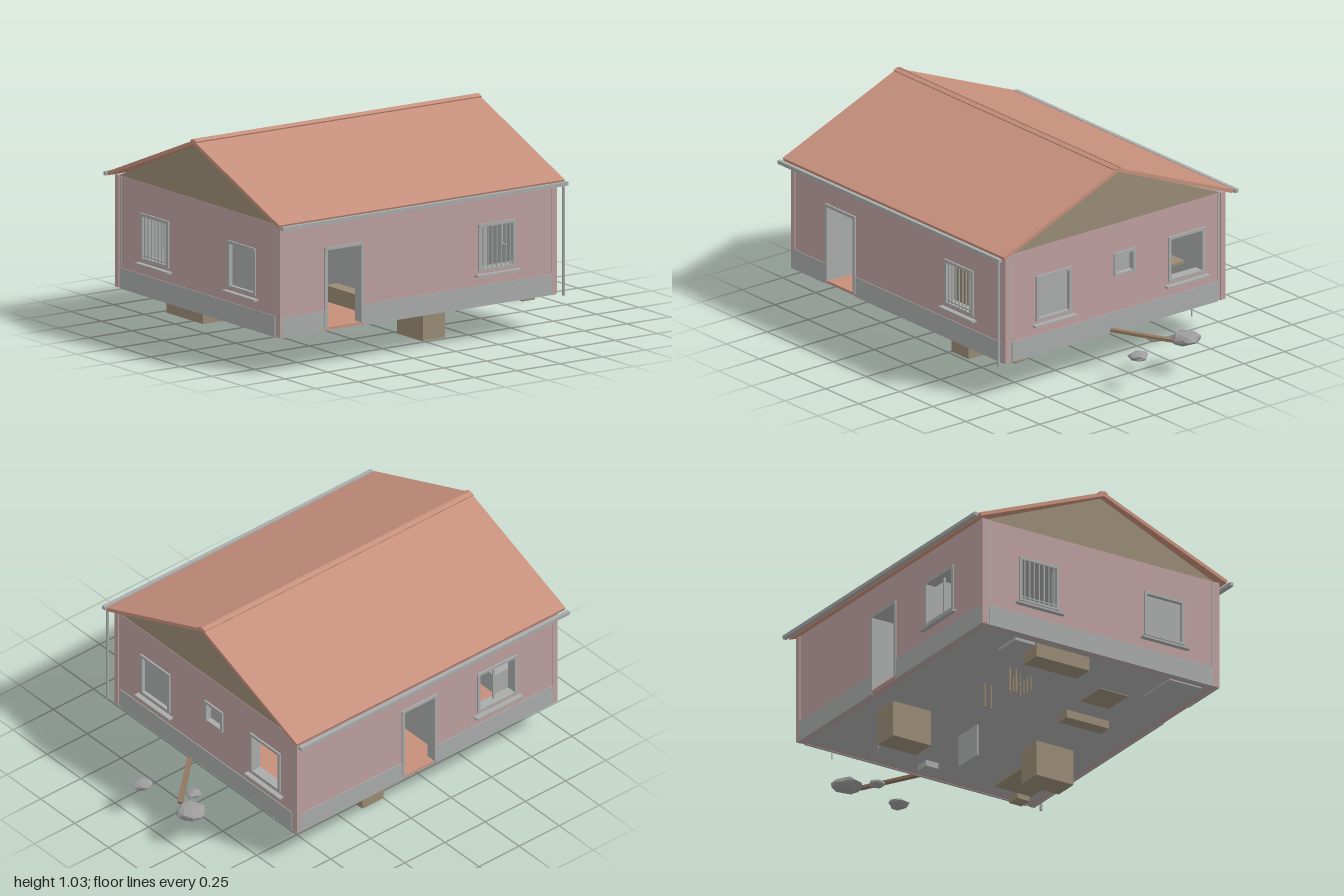
import * as THREE from 'three';

const mat = (name, color, side = THREE.FrontSide) => {
  const m = new THREE.MeshStandardMaterial({ color, side });
  m.name = name;
  return m;
};

export function createModel() {
  const root = new THREE.Group();
  root.name = 'house';
  const pink = mat('pinkPlaster', 0xbd9f9f);
  const grey = mat('greyConcrete', 0xa9abaa);
  const tile = mat('terracotta', 0xc68f7c, THREE.DoubleSide);
  const wood = mat('tanWood', 0x998b75);
  const plankWood = mat('plankBrown', 0x8f7660);
  const stone = mat('stoneGrey', 0x9c9c9c);
  stone.flatShading = true;

  const add = (parent, name, geo, m) => {
    const mesh = new THREE.Mesh(geo, m);
    mesh.name = name;
    parent.add(mesh);
    return mesh;
  };
  // Box given by its min and max on each axis
  const box = (parent, name, m, x0, x1, y0, y1, z0, z1) => {
    const b = add(parent, name, new THREE.BoxGeometry(x1 - x0, y1 - y0, z1 - z0), m);
    b.position.set((x0 + x1) / 2, (y0 + y1) / 2, (z0 + z1) / 2);
    return b;
  };
  const rod = (parent, name, m, x, y0, y1, z, r) => {
    const c = add(parent, name, new THREE.CylinderGeometry(r, r, y1 - y0, 8), m);
    c.position.set(x, (y0 + y1) / 2, z);
    return c;
  };

  // Frame, sill, bars and pane around one opening, in wall coordinates
  const trim = (g, o) => {
    const { x0, x1, y0, y1 } = o, t = 0.012;
    const frame = new THREE.Group();
    frame.name = o.door ? 'doorFrame' : 'windowFrame';
    g.add(frame);
    box(frame, 'leftJamb', grey, x0 - 0.003, x0 + t, y0, y1, -0.045, 0.008);
    box(frame, 'rightJamb', grey, x1 - t, x1 + 0.003, y0, y1, -0.045, 0.008);
    box(frame, 'lintel', grey, x0 - 0.003, x1 + 0.003, y1 - t, y1 + 0.003, -0.045, 0.009);
    if (o.door) {
      box(frame, 'threshold', tile, x0, x1, y0 - 0.006, y0 + 0.004, -0.05, 0.004);
      return;
    }
    box(frame, 'bottomRail', grey, x0 - 0.003, x1 + 0.003, y0, y0 + t, -0.045, 0.007);
    if (o.sill) box(frame, 'sill', grey, x0 - 0.023, x1 + 0.023, 0.326, 0.336, -0.02, 0.026);
    if (o.pane) box(frame, 'pane', grey, x0, x1, y0, y1, -0.03, o.pane);
    if (o.mullion) box(frame, 'mullion', grey, (x0 + x1) / 2 - 0.005, (x0 + x1) / 2 + 0.005, y0, y1, -0.03, -0.02);
    if (o.bars) {
      for (let i = 1; i <= 7; i++)
        rod(frame, 'bar', grey, x0 + (x1 - x0) * i / 8, y0, y1, 0.002, 0.004);
      box(frame, 'barRail', grey, x0, x1, y0 + 0.02, y0 + 0.026, 0, 0.005);
    }
  };

  // Wall with openings: outer plaster, inner lining and a plinth split at doors
  const wall = (name, x0, x1, pos, turn, openings) => {
    const g = new THREE.Group();
    g.name = name;
    g.position.set(...pos);
    g.rotation.y = turn;
    root.add(g);
    const s = new THREE.Shape();
    s.moveTo(x0, 0.18).lineTo(x1, 0.18).lineTo(x1, 0.728).lineTo(x0, 0.728).closePath();
    for (const o of openings) {
      const h = new THREE.Path();
      h.moveTo(o.x0, o.y0).lineTo(o.x0, o.y1).lineTo(o.x1, o.y1).lineTo(o.x1, o.y0).closePath();
      s.holes.push(h);
    }
    const layer = (n, m, depth, z) => {
      add(g, n, new THREE.ExtrudeGeometry(s, { depth, bevelEnabled: false }), m).position.z = z;
    };
    layer('plaster', pink, 0.03, -0.03);
    layer('lining', grey, 0.008, -0.038);
    let start = x0;
    for (const d of openings.filter(o => o.door)) {
      box(g, 'plinth', grey, start, d.x0, 0.178, 0.28, -0.01, 0.004);
      start = d.x1;
    }
    box(g, 'plinth', grey, start, x1, 0.178, 0.28, -0.01, 0.004);
    openings.forEach(o => trim(g, o));
  };

  const W = (a, b, extra) => ({ x0: a, x1: b, y0: 0.35, y1: 0.577, sill: true, ...extra });
  const D = (a, b) => ({ x0: a, x1: b, y0: 0.192, y1: 0.585, door: true });
  wall('frontWall', -0.97, 0.64, [0, 0, 0.67], 0, [D(-0.71, -0.49), W(0.19, 0.4, { bars: true })]);
  wall('backWall', -0.64, 0.97, [0, 0, -0.67], Math.PI,
    [D(0.01, 0.22), W(0.48, 0.72, { mullion: true })]);
  wall('rightWall', -0.63, 0.63, [0.64, 0, 0], Math.PI / 2, [
    W(-0.48, -0.27, { pane: -0.012 }),
    { x0: -0.005, x1: 0.12, y0: 0.46, y1: 0.577, pane: -0.02 },
    W(0.33, 0.545, { mullion: false })]);
  wall('leftWall', -0.63, 0.63, [-0.97, 0, 0], -Math.PI / 2,
    [W(-0.46, -0.24, { bars: true }), W(0.25, 0.47, { pane: -0.012 })]);

  // Corner strips
  for (const [x0, x1] of [[-0.974, -0.945], [0.616, 0.646]])
    for (const s of [-1, 1])
      box(root, 'cornerStrip', pink, x0, x1, 0.181, 0.728, s * 0.66 - 0.014, s * 0.66 + 0.014);

  // Floor, ceiling and inner partitions
  box(root, 'floorSlab', grey, -0.965, 0.635, 0.18, 0.188, -0.665, 0.665);
  box(root, 'floorTiles', tile, -0.93, 0.6, 0.188, 0.192, -0.632, 0.632);
  box(root, 'ceiling', grey, -0.96, 0.63, 0.718, 0.728, -0.66, 0.66);
  box(root, 'partition', grey, -0.29, -0.27, 0.19, 0.718, -0.63, 0.63);
  box(root, 'crossPartition', grey, -0.27, 0.6, 0.19, 0.718, 0.15, 0.17);

  // Gables
  const tri = new THREE.Shape();
  tri.moveTo(-0.648, 0.728).lineTo(0.648, 0.728).lineTo(0, 1.002).closePath();
  for (const x of [-0.968, 0.612]) {
    const g = add(root, 'gable', new THREE.ExtrudeGeometry(tri, { depth: 0.026, bevelEnabled: false }), wood);
    g.rotation.y = Math.PI / 2;
    g.position.x = x;
  }

  // Roof slopes, ridge caps and gutters
  for (const s of [-1, 1]) {
    const slope = (name, za, ya, zb, yb, t, x0, x1) => {
      const len = Math.hypot(zb - za, yb - ya);
      const r = add(root, name, new THREE.BoxGeometry(x1 - x0, t, len), tile);
      r.position.set((x0 + x1) / 2, (ya + yb) / 2, s * (za + zb) / 2);
      r.rotation.x = s * Math.atan2(ya - yb, zb - za);
    };
    slope('roofSlope', 0, 1.013, 0.7, 0.731, 0.018, -1, 0.67);
    slope('ridgeCap', 0.002, 1.024, 0.022, 1.015, 0.012, -1, 0.67);
    box(root, 'gutter', grey, -1, 0.67, 0.717, 0.735, s * 0.725 - 0.01, s * 0.725 + 0.01);
  }
  rod(root, 'downpipe', grey, 0.65, 0.18, 0.72, 0.72, 0.007);

  // Open door leaves
  box(root, 'frontDoorLeaf', grey, -0.715, -0.703, 0.195, 0.575, 0.42, 0.63);
  box(root, 'backDoorLeaf', grey, -0.02, -0.008, 0.195, 0.575, -0.63, -0.43);
  box(root, 'innerDoor', grey, 0.005, 0.165, 0.02, 0.4, -0.066, -0.056);

  // Furniture reaching below the floor
  const items = [
    ['wardrobe', wood, 0, 0.13, 0, 0.46, 0.27, 0.48],
    ['wardrobe', wood, 0, 0.13, 0, 0.46, -0.545, -0.33],
    ['bedBase', wood, 0.18, 0.52, 0.166, 0.27, 0.37, 0.58],
    ['nightstand', wood, 0.52, 0.59, 0.14, 0.26, 0.5, 0.57],
    ['stool', grey, 0.47, 0.54, 0.15, 0.24, -0.05, 0.02],
    ['bench', wood, -0.37, -0.3, 0.14, 0.27, 0.2, 0.44],
    ['sideboard', wood, -0.92, -0.81, 0.11, 0.3, -0.33, -0.03],
    ['cooker', grey, -0.92, -0.77, 0.165, 0.3, -0.45, -0.34],
    ['lowTable', wood, -0.66, -0.49, 0.176, 0.265, 0.2, 0.36],
    ['sofaSeat', grey, -0.62, -0.49, 0.2, 0.33, 0, 0.14],
    ['sofaBack', grey, -0.62, -0.49, 0.2, 0.4, -0.06, 0],
    ['mat', grey, -0.93, -0.7, 0.173, 0.2, 0.42, 0.6],
    ['tableTop', wood, -0.63, -0.39, 0.34, 0.355, -0.4, -0.23],
    ['shelf', wood, 0.2, 0.5, 0.35, 0.365, -0.54, -0.41],
  ];
  for (const [n, m, ...b] of items) box(root, n, m, ...b);
  for (const x of [-0.615, -0.4])
    for (const z of [-0.25, -0.285]) rod(root, 'tableLeg', wood, x, 0.055, 0.345, z, 0.006);
  for (const x of [-0.59, -0.56, -0.53, -0.5])
    for (const z of [-0.15, -0.21]) rod(root, 'chairLeg', wood, x, 0.105, 0.3, z, 0.004);
  for (const [x, z] of [[0.41, -0.36], [0.63, -0.48]]) rod(root, 'thinLeg', grey, x, 0.135, 0.3, z, 0.003);

  // Stones and a plank lying outside
  let seed = 7;
  const rand = () => (seed = (seed * 16807) % 2147483647) / 2147483647;
  const rock = (x, y, z, rx, ry, rz) => {
    const geo = new THREE.IcosahedronGeometry(1, 1);
    const p = geo.attributes.position, scales = new Map();
    for (let i = 0; i < p.count; i++) {
      const key = [p.getX(i), p.getY(i), p.getZ(i)].map(v => Math.round(v * 100)).join();
      if (!scales.has(key)) scales.set(key, 0.8 + 0.3 * rand());
      const k = scales.get(key);
      p.setXYZ(i, p.getX(i) * k, p.getY(i) * k, p.getZ(i) * k);
    }
    geo.computeVertexNormals();
    const r = add(root, 'stone', geo, stone);
    r.position.set(x, y, z);
    r.scale.set(rx, ry, rz);
  };
  rock(0.915, 0.178, -0.21, 0.076, 0.032, 0.074);
  rock(0.81, 0.173, -0.105, 0.04, 0.018, 0.04);
  rock(0.95, 0.174, 0.11, 0.046, 0.023, 0.054);

  const a = new THREE.Vector3(0.69, 0.219, 0.065), b = new THREE.Vector3(0.92, 0.184, -0.135);
  const plank = add(root, 'plank', new THREE.BoxGeometry(0.025, 0.014, a.distanceTo(b)), plankWood);
  plank.position.copy(a).add(b).multiplyScalar(0.5);
  plank.lookAt(b);

  return root;
}
